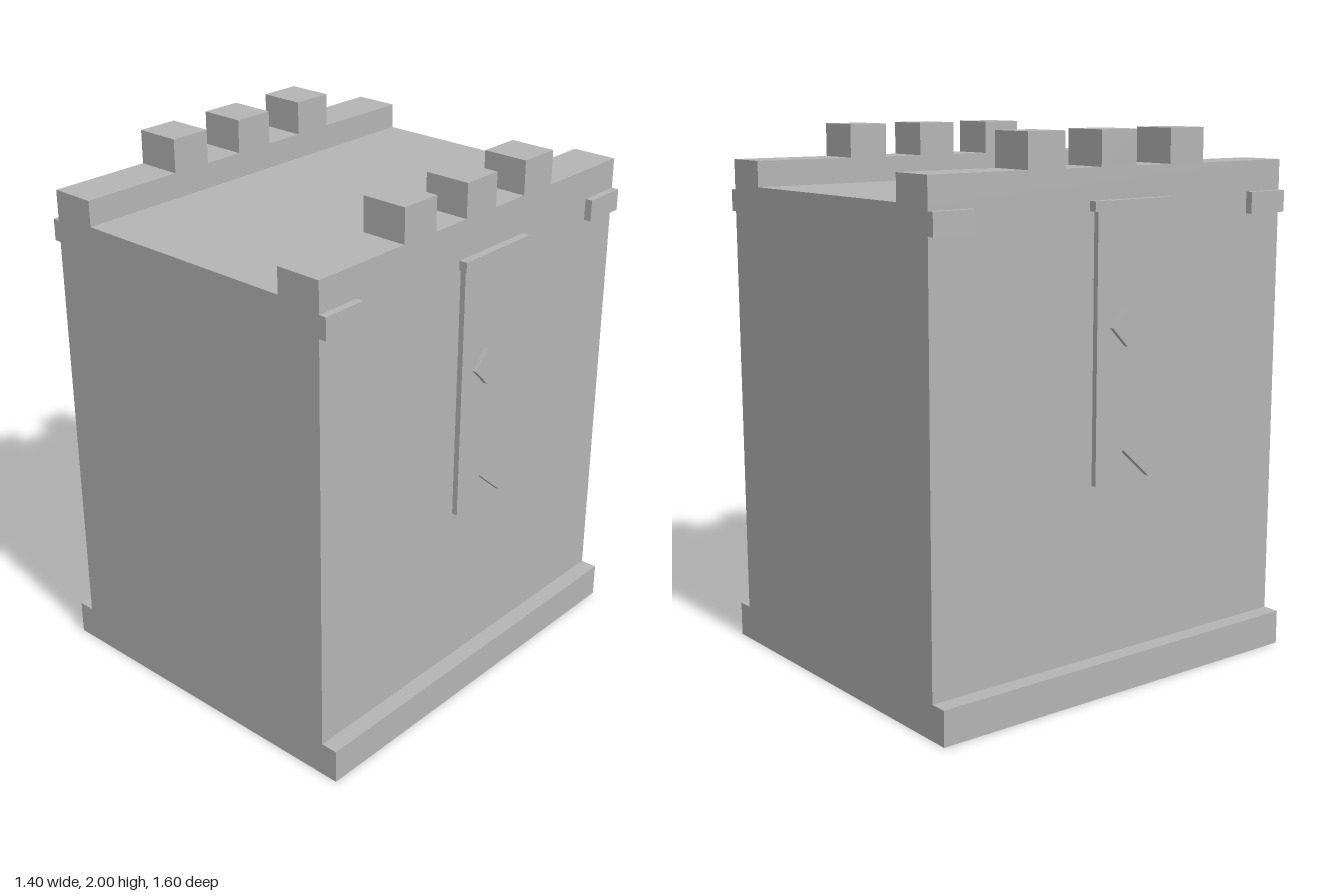
import * as THREE from 'three';

const stone = new THREE.MeshStandardMaterial({ color: 0xb4b4b4, side: THREE.DoubleSide });
stone.name = 'stone grey';

function add(parent, name, geometry) {
  const mesh = new THREE.Mesh(geometry, stone);
  mesh.name = name;
  parent.add(mesh);
  return mesh;
}

// Box given by its minimum and maximum on each axis; optionally open underneath
function box(parent, name, [x0, x1], [y0, y1], [z0, z1], open = false) {
  const g = new THREE.BoxGeometry(x1 - x0, y1 - y0, z1 - z0);
  if (open) {
    const index = Array.from(g.index.array);
    index.splice(18, 6); // bottom face
    g.setIndex(index);
    g.clearGroups();
  }
  g.translate((x0 + x1) / 2, (y0 + y1) / 2, (z0 + z1) / 2);
  return add(parent, name, g);
}

// Plate drawn in (z, y), standing on the side wall from x0 to x1
function sidePlate(parent, name, points, x0, x1) {
  const shape = new THREE.Shape(points.map(([z, y]) => new THREE.Vector2(-z, y)));
  const g = new THREE.ExtrudeGeometry(shape, { depth: x1 - x0, bevelEnabled: false });
  g.rotateY(Math.PI / 2).translate(x0, 0, 0);
  return add(parent, name, g);
}

export function createModel() {
  const model = new THREE.Group();
  model.name = 'castleWallSection';

  // Main block with its flat walkway
  box(model, 'wallBody', [-0.622, 0.622], [0.13, 1.78], [-0.8, 0.8]);

  // Hollow bars under the block
  for (const s of [-1, 1]) {
    for (const [a, b] of [[0.62, 0.71], [0.71, 0.8]]) {
      box(model, 'endFootBar', [-0.622, 0.622], [0, 0.13], s > 0 ? [a, b] : [-b, -a], true);
    }
  }
  box(model, 'middleFootBar', [-0.622, 0.622], [0, 0.13], [-0.035, 0.035], true);

  // Both sides carry the same parts
  for (const s of [1, -1]) {
    const side = new THREE.Group();
    side.name = s > 0 ? 'leftSide' : 'rightSide';
    if (s < 0) side.rotation.y = Math.PI;
    model.add(side);

    // Plinth in two lengths
    box(side, 'plinthFront', [0.622, 0.687], [0, 0.13], [0, 0.8], true);
    box(side, 'plinthBack', [0.622, 0.687], [0, 0.13], [-0.8, 0], true);

    // Parapet and merlons
    box(side, 'parapet', [0.448, 0.622], [1.78, 1.875], [-0.8, 0.8]);
    for (const z of [-0.32, 0, 0.32]) {
      box(side, 'merlon', [0.448, 0.622], [1.875, 2], [z - 0.08, z + 0.08]);
    }

    // Corner brackets
    box(side, 'frontBracket', [0.622, 0.65], [1.682, 1.762], [0.628, 0.8]);
    box(side, 'backBracket', [0.622, 0.65], [1.682, 1.762], [-0.8, -0.628]);

    // Hanging banner with rod and diamond
    box(side, 'bannerRod', [0.67, 0.7], [1.733, 1.768], [-0.173, 0.173]);
    sidePlate(side, 'banner', [[-0.126, 1.733], [0.126, 1.733], [0.126, 0.775], [0, 0.887], [-0.126, 0.775]], 0.64, 0.661);
    sidePlate(side, 'bannerDiamond', [[0, 1.398], [0.068, 1.328], [0, 1.258], [-0.068, 1.328]], 0.661, 0.678);
  }
  return model;
}
